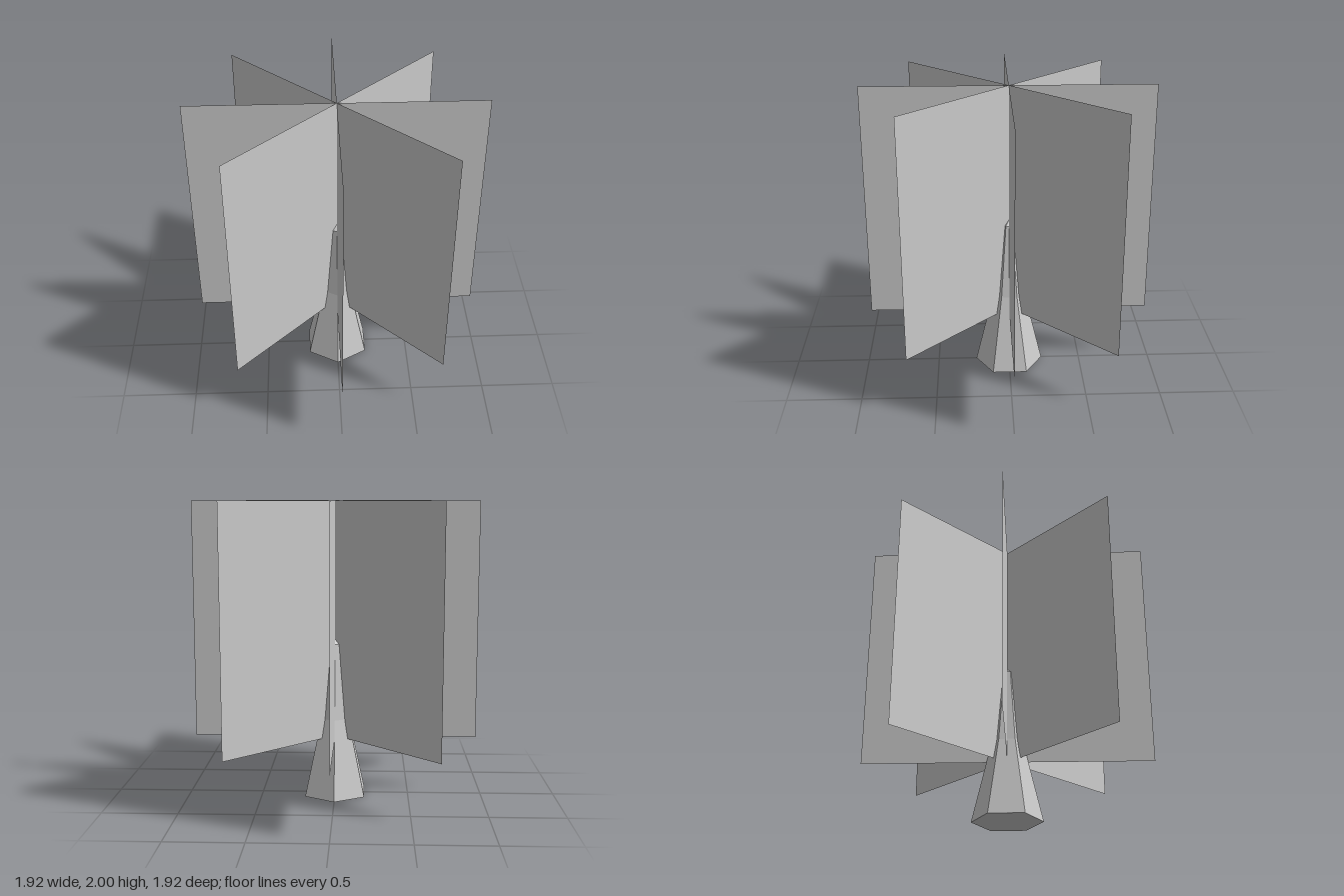
import * as THREE from 'three';

export function createModel() {
  const model = new THREE.Group();
  model.name = 'tree';

  // Six-sided tapering trunk with a closed base and a short pointed tip
  const profile = [[0, 0], [0.232, 0], [0.106, 0.53], [0.042, 1.04], [0, 1.07]]
    .map(([r, y]) => new THREE.Vector2(r, y));
  const trunk = new THREE.Mesh(
    new THREE.LatheGeometry(profile, 6),
    new THREE.MeshStandardMaterial({ color: 0xcccccc, flatShading: true })
  );
  trunk.name = 'trunk';
  model.add(trunk);

  // Foliage: four upright cards crossing on the trunk axis
  const foliage = new THREE.Group();
  foliage.name = 'foliage';
  const cardGeometry = new THREE.PlaneGeometry(1.92, 1.6);
  const cardMaterial = new THREE.MeshStandardMaterial({
    color: 0xcccccc, flatShading: true, side: THREE.DoubleSide
  });
  for (let i = 0; i < 4; i++) {
    const card = new THREE.Mesh(cardGeometry, cardMaterial);
    card.name = `foliageCard${i + 1}`;
    card.position.y = 1.2;
    card.rotation.y = (i * Math.PI) / 4;
    foliage.add(card);
  }
  model.add(foliage);

  return model;
}
